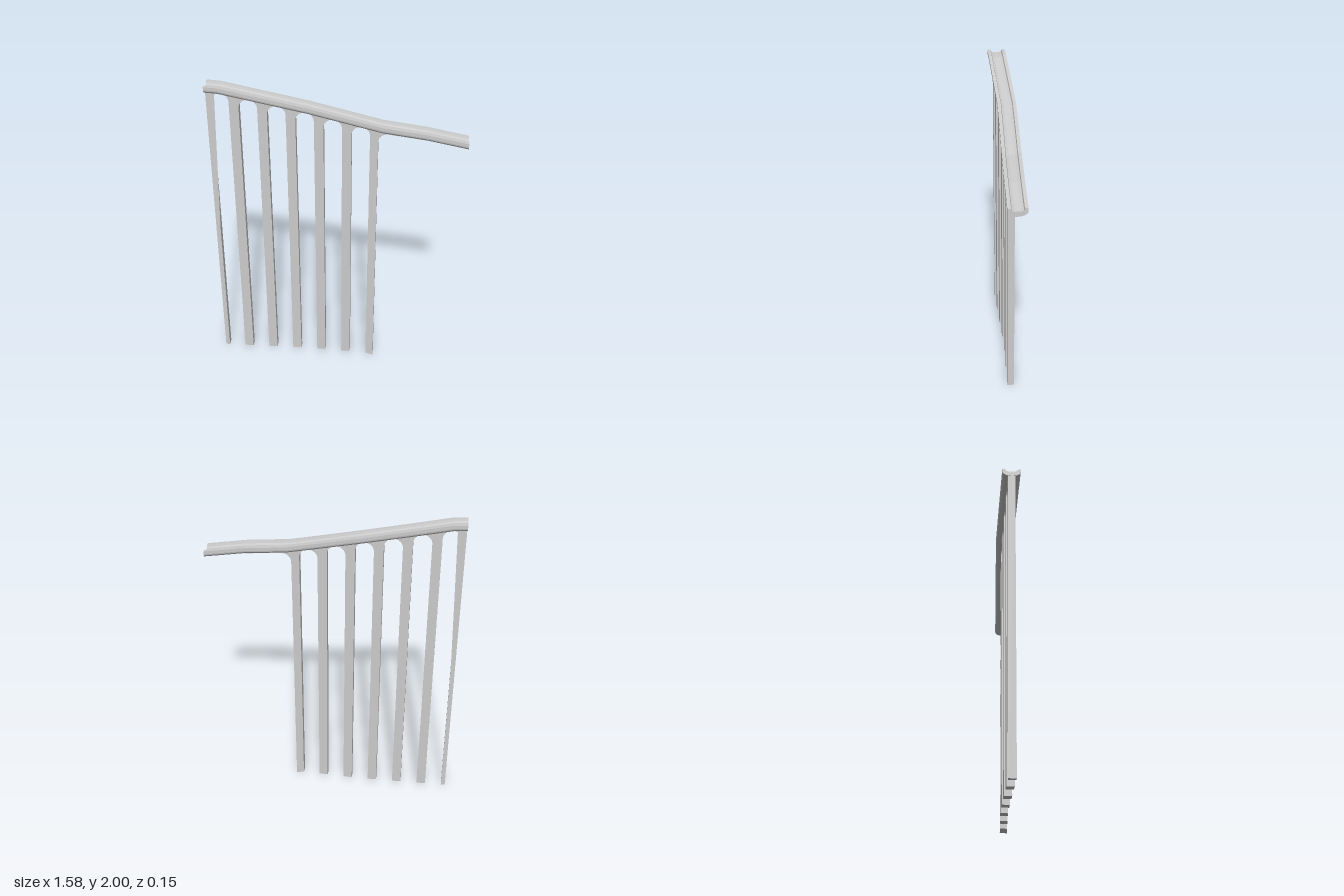
import * as THREE from 'three';

// Course of the channel: x, height of the rim, sideways position
const COURSE = [
  [-0.79, 2.0, -0.012], [-0.71, 1.995, -0.013], [-0.45, 1.94, -0.018], [-0.18, 1.884, -0.022],
  [0.1, 1.822, -0.011], [0.275, 1.784, -0.003], [0.54, 1.755, 0.009], [0.79, 1.711, 0.017],
];
const WALL = 0.046; // thickness of the pier wall

// Linear interpolation along the course; k = 1 gives rim height, k = 2 gives z
function along(x, k) {
  let i = 1;
  while (i < COURSE.length - 1 && x > COURSE[i][0]) i++;
  const a = COURSE[i - 1], b = COURSE[i];
  return THREE.MathUtils.lerp(a[k], b[k], (x - a[0]) / (b[0] - a[0]));
}

// Trough: one U-shaped section swept along the course
function troughGeometry() {
  const half = [[0.037, 0], [0.057, 0], [0.057, -0.02]];
  for (let i = 1; i < 6; i++) {
    const t = (i / 6) * Math.PI / 2;
    half.push([0.057 * Math.cos(t), -0.02 - 0.031 * Math.sin(t)]);
  }
  const mirror = half.slice().reverse().map(([z, y]) => [-z, y]);
  const ring = [...half, [0, -0.051], ...mirror, [-0.033, -0.013], [-0.018, -0.019], [0.018, -0.019], [0.033, -0.013]];
  const n = ring.length;
  const positions = [], index = [];
  for (const [x, y, z] of COURSE) for (const [dz, dy] of ring) positions.push(x, y + dy, z + dz);
  for (let s = 0; s < COURSE.length - 1; s++) {
    for (let i = 0; i < n; i++) {
      const a = s * n + i, b = s * n + (i + 1) % n;
      index.push(a, b, a + n, b, b + n, a + n);
    }
  }
  // end caps
  const faces = THREE.ShapeUtils.triangulateShape(ring.map(([z, y]) => new THREE.Vector2(z, y)), []);
  const last = (COURSE.length - 1) * n;
  for (const [a, b, c] of faces) {
    index.push(a, b, c);
    index.push(last + a, last + c, last + b);
  }
  const g = new THREE.BufferGeometry();
  g.setAttribute('position', new THREE.Float32BufferAttribute(positions, 3));
  g.setIndex(index);
  return g;
}

// Piers and arches: one outline extruded, then bent to follow the course
function arcadeGeometry() {
  const piers = [[-0.787, -0.76]];
  for (let i = 0; i < 5; i++) piers.push([-0.65 + 0.17 * i, -0.592 + 0.17 * i]);
  piers.push([0.2, 0.25]);
  const pts = [];
  piers.forEach(([x0, x1], i) => {
    const end = i === piers.length - 1;
    pts.push([x0, 0.015], [x1, end ? 0 : 0.015]);
    if (end) {
      // half arch that dies into the underside of the trough
      const r = 0.055, crown = along(x1 + r, 1) - 0.054;
      for (let k = 0; k <= 8; k++) {
        const t = Math.PI - (k / 8) * Math.PI / 2;
        pts.push([x1 + r + r * Math.cos(t), crown - r + r * Math.sin(t)]);
      }
      return;
    }
    const next = piers[i + 1][0];
    const r = (next - x1) / 2, cx = (next + x1) / 2, crown = along(cx, 1) - 0.047;
    for (let k = 0; k <= 16; k++) {
      const t = Math.PI * (1 - k / 16);
      pts.push([cx + r * Math.cos(t), crown - r + r * Math.sin(t)]);
    }
  });
  // tapering tail, then back along the top, hidden inside the trough
  pts.push([0.54, along(0.54, 1) - 0.052], [0.54, along(0.54, 1) - 0.03]);
  for (let k = 0; k <= 24; k++) {
    const x = 0.5 - (k / 24) * 1.287;
    pts.push([x, along(x, 1) - 0.03]);
  }
  const shape = new THREE.Shape(pts.map(([x, y]) => new THREE.Vector2(x, y)));
  const g = new THREE.ExtrudeGeometry(shape, { depth: WALL, bevelEnabled: false });
  const p = g.attributes.position;
  for (let i = 0; i < p.count; i++) p.setZ(i, p.getZ(i) - WALL / 2 + along(p.getX(i), 2));
  g.computeVertexNormals();
  return g;
}

export function createModel() {
  const group = new THREE.Group();
  group.name = 'aqueduct';
  const stone = new THREE.MeshStandardMaterial({ color: 0xcccccc, flatShading: true });
  const add = (name, geometry) => {
    const mesh = new THREE.Mesh(geometry, stone);
    mesh.name = name;
    group.add(mesh);
  };
  add('waterTrough', troughGeometry());
  add('pierArcade', arcadeGeometry());
  return group;
}
